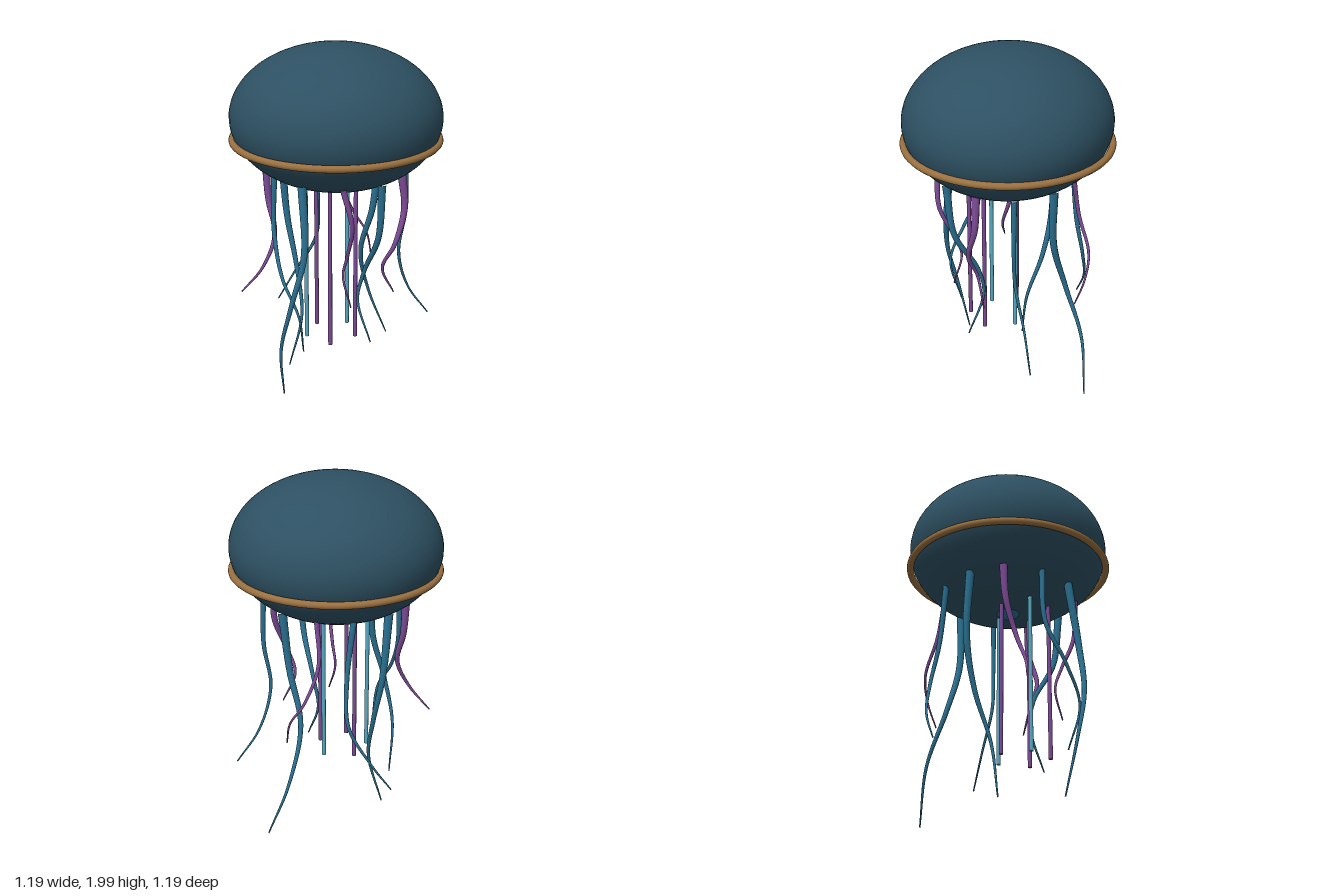
import * as THREE from 'three';

const paint = (color) => new THREE.MeshStandardMaterial({ color });
const bellMat = paint(0x2d5062);
const ringMat = paint(0x9a7040);
const tealMat = paint(0x2a6f8f);
const purpleMat = paint(0x7b4a94);
const cyanMat = paint(0x5aa9c0);

// Round tube along a smooth curve, thinning evenly from root to tip
function taperedTube(points, r0, r1, segments = 40, sides = 10) {
  const curve = new THREE.CatmullRomCurve3(points.map((p) => new THREE.Vector3(...p)));
  const geo = new THREE.TubeGeometry(curve, segments, 1, sides);
  const pos = geo.attributes.position;
  const v = new THREE.Vector3();
  for (let i = 0; i <= segments; i++) {
    const centre = curve.getPointAt(i / segments);
    const r = THREE.MathUtils.lerp(r0, r1, i / segments);
    for (let j = 0; j <= sides; j++) {
      const k = i * (sides + 1) + j;
      v.fromBufferAttribute(pos, k).sub(centre).multiplyScalar(r).add(centre);
      pos.setXYZ(k, v.x, v.y, v.z);
    }
  }
  geo.computeBoundingSphere();
  return geo;
}

export function createModel() {
  const model = new THREE.Group();
  model.name = 'jellyfish';
  const add = (name, geo, mat, y = 0) => {
    const mesh = new THREE.Mesh(geo, mat);
    mesh.name = name;
    mesh.position.y = y;
    model.add(mesh);
    return mesh;
  };

  // Bell, rim ring and mouth
  add('bell', new THREE.SphereGeometry(1, 64, 40), bellMat, 1.596).scale.set(0.594, 0.404, 0.58);
  add('rimRing', new THREE.TorusGeometry(0.577, 0.02, 14, 96).rotateX(Math.PI / 2), ringMat, 1.473);
  add('mouth', new THREE.SphereGeometry(1, 28, 16), tealMat, 1.21).scale.set(0.07, 0.042, 0.07);

  // Long tentacles, [x, y, z] from root to tip
  const longTentacles = [
    [[-0.06, 1.3, 0.38], [-0.035, 0.92, 0.425], [-0.1, 0.62, 0.465], [-0.175, 0.33, 0.44], [-0.19, 0.01, 0.37]],
    [[-0.37, 1.3, -0.1], [-0.35, 0.92, -0.122], [-0.285, 0.62, -0.095], [-0.225, 0.33, -0.02], [-0.285, 0.01, 0.04]],
    [[0.15, 1.3, -0.35], [0.115, 0.95, -0.34], [0.03, 0.65, -0.38], [0.045, 0.33, -0.5], [0.145, 0.015, -0.57]],
  ];
  for (const path of longTentacles) add('longTentacle', taperedTube(path, 0.025, 0.004), tealMat);

  // Middle tentacles: root radius and path
  const middleTentacles = [
    [0.023, [[0.335, 1.3, 0.21], [0.31, 0.98, 0.18], [0.2, 0.72, 0.09], [0.16, 0.53, 0.08], [0.255, 0.3, 0.13]]],
    [0.017, [[-0.26, 1.3, 0.285], [-0.26, 0.98, 0.3], [-0.18, 0.75, 0.39], [-0.07, 0.55, 0.43], [-0.07, 0.3, 0.36]]],
    [0.018, [[-0.25, 1.3, -0.29], [-0.23, 0.95, -0.33], [-0.26, 0.7, -0.365], [-0.38, 0.48, -0.33], [-0.47, 0.3, -0.25]]],
    [0.016, [[0.35, 1.3, -0.21], [0.355, 1.02, -0.212], [0.32, 0.75, -0.205], [0.36, 0.5, -0.28], [0.465, 0.3, -0.37]]],
  ];
  for (const [r, path] of middleTentacles) add('middleTentacle', taperedTube(path, r, 0.004), tealMat);

  // Short purple arms: root radius and path
  const arms = [
    [0.024, [[0.385, 1.3, 0], [0.405, 1.1, 0], [0.37, 0.9, 0.06], [0.295, 0.74, 0.045], [0.345, 0.57, -0.02]]],
    [0.017, [[0.165, 1.3, 0.36], [0.207, 1.08, 0.335], [0.16, 0.88, 0.27], [0.125, 0.74, 0.24], [0.18, 0.57, 0.265]]],
    [0.023, [[-0.385, 1.3, 0.1], [-0.37, 1.1, 0.11], [-0.32, 0.9, 0.15], [-0.37, 0.72, 0.22], [-0.485, 0.57, 0.265]]],
    [0.014, [[-0.07, 1.3, -0.37], [-0.095, 1.05, -0.4], [-0.05, 0.85, -0.485], [0.03, 0.72, -0.5], [0.075, 0.57, -0.46]]],
  ];
  for (const [r, path] of arms) add('wavyArm', taperedTube(path, r, 0.004), purpleMat);

  // Straight inner strands
  const strands = [
    [0.045, 0.23, purpleMat], [0.145, 0.08, purpleMat], [-0.12, 0, purpleMat],
    [-0.12, 0.17, cyanMat], [0.045, -0.07, cyanMat],
  ];
  for (const [x, z, mat] of strands) {
    const strand = add('straightStrand', new THREE.CylinderGeometry(0.012, 0.012, 0.98, 12), mat, 0.79);
    strand.position.set(x, 0.79, z);
  }
  return model;
}
